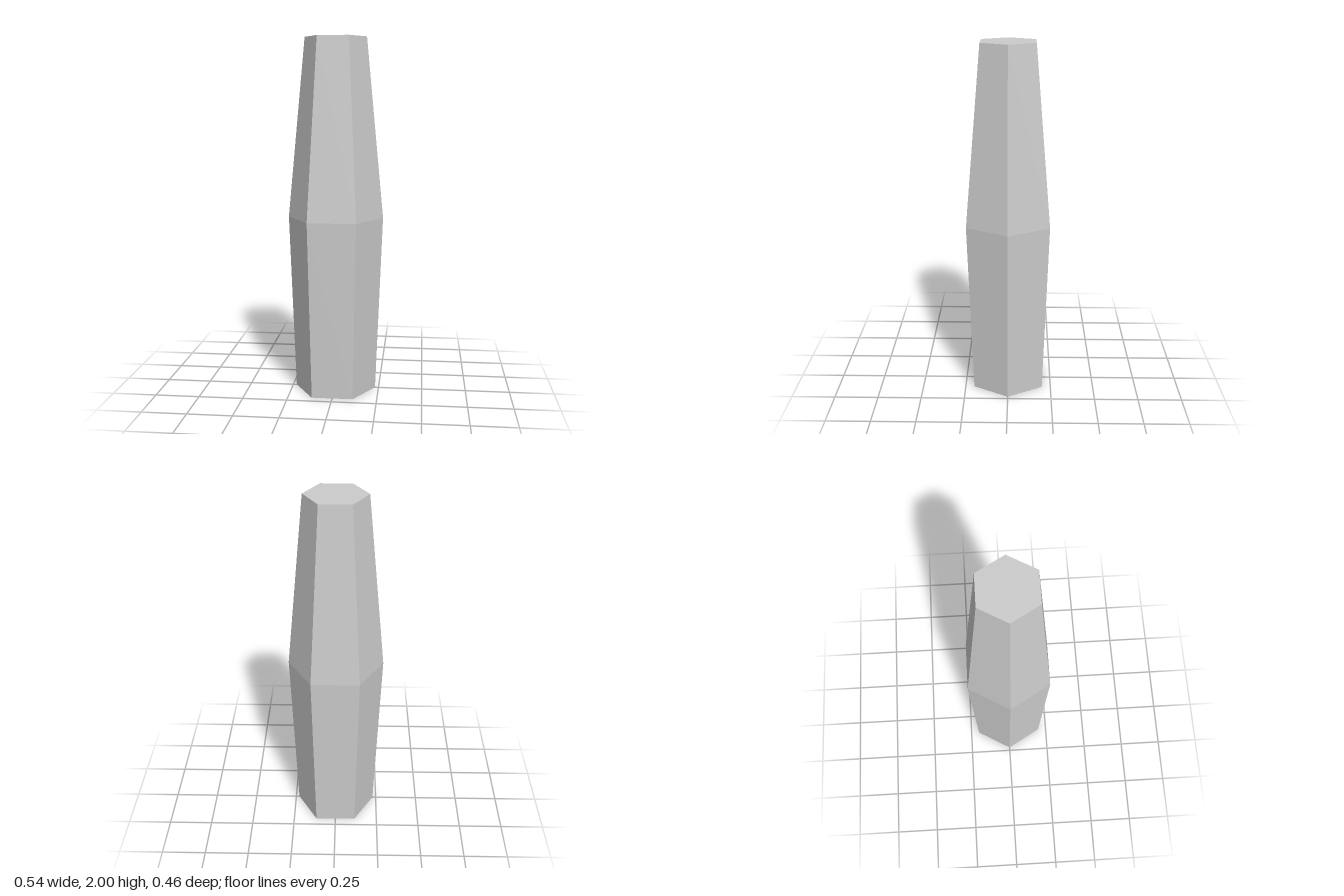
import * as THREE from 'three';

export function createModel() {
  const group = new THREE.Group();
  const material = new THREE.MeshStandardMaterial({ color: 0xcccccc, flatShading: true });

  // Half profile from base centre to top centre, widest at mid height
  const profile = [
    [0, 0],
    [0.23, 0],
    [0.268, 1],
    [0.172, 2],
    [0, 2],
  ].map(([radius, y]) => new THREE.Vector2(radius, y));

  // Six-sided body with corners pointing along +x and -x
  const body = new THREE.Mesh(new THREE.LatheGeometry(profile, 6, Math.PI / 2), material);
  body.name = 'hexagonalBody';
  group.add(body);

  return group;
}
